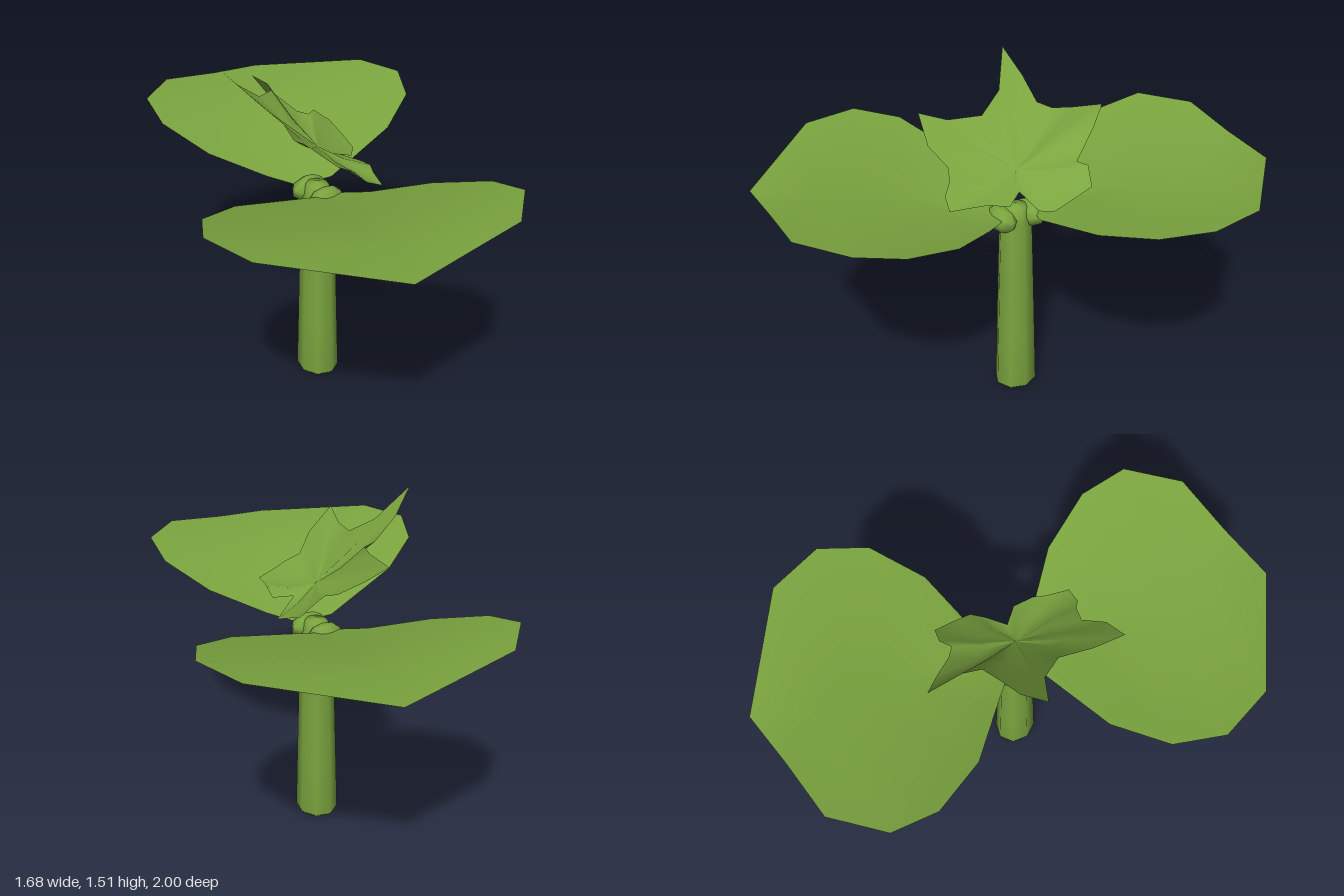
import * as THREE from 'three';

const green = new THREE.MeshStandardMaterial({ color: 0x7ba53f, side: THREE.DoubleSide });
green.name = 'leaf green';

function part(name, geometry, parent) {
  const mesh = new THREE.Mesh(geometry, green);
  mesh.name = name;
  parent.add(mesh);
  return mesh;
}

// Smooth sheet through rows of points; closed joins the ends of each row.
function sheet(rows, closed = false) {
  const n = rows[0].length, index = [];
  for (let i = 0; i + 1 < rows.length; i++) {
    for (let j = 0; j < (closed ? n : n - 1); j++) {
      const k = (j + 1) % n, a = i * n + j, b = i * n + k, c = a + n, d = b + n;
      index.push(a, c, b, b, c, d);
    }
  }
  const g = new THREE.BufferGeometry();
  g.setAttribute('position', new THREE.Float32BufferAttribute(rows.flat(2), 3));
  g.setIndex(index);
  g.computeVertexNormals();
  return g;
}

// Broad leaf: left edge, midrib and right edge at stations going outward
const broadRows = [
  [[-0.12, 0.935, 0.04], [-0.02, 0.93, 0.07], [0.05, 0.935, 0.10]],
  [[-0.49, 1.05, 0.06], [-0.14, 0.98, 0.25], [0.11, 0.955, 0.20]],
  [[-0.72, 1.12, 0.16], [-0.24, 1.03, 0.43], [0.25, 1.03, 0.42]],
  [[-0.84, 1.16, 0.33], [-0.29, 1.07, 0.60], [0.31, 1.11, 0.67]],
  [[-0.82, 1.16, 0.57], [-0.30, 1.10, 0.76], [0.26, 1.16, 0.86]],
  [[-0.47, 1.11, 0.97], [-0.22, 1.13, 0.98], [0.05, 1.16, 1.00]],
];

// Outline of the small lobed leaf
const lobes = [
  [0.01, 1.32, -0.43], [0.06, 1.25, -0.35], [0.11, 1.18, -0.25], [0.14, 1.17, -0.21],
  [0.19, 1.17, -0.23], [0.26, 1.11, -0.20], [0.25, 1.07, -0.10], [0.24, 1.04, -0.03],
  [0.19, 1.03, 0.01], [0.09, 1.08, 0.04], [0.14, 1.06, 0.12], [0.11, 1.08, 0.20],
  [0.08, 1.07, 0.25], [0.04, 1.06, 0.34], [-0.03, 1.09, 0.32], [-0.06, 1.13, 0.28],
  [-0.12, 1.16, 0.25], [-0.21, 1.23, 0.29], [-0.32, 1.33, 0.27], [-0.27, 1.29, 0.16],
  [-0.21, 1.30, 0.03], [-0.25, 1.37, -0.08], [-0.36, 1.51, -0.17], [-0.25, 1.41, -0.20],
  [-0.14, 1.33, -0.20], [-0.06, 1.33, -0.22], [-0.02, 1.33, -0.29],
];

export function createModel() {
  const plant = new THREE.Group();
  plant.name = 'seedling';

  // Tapering stem with a rounded foot and top
  const profile = [[0, 0], [0.08, 0], [0.1, 0.02], [0.092, 0.3], [0.082, 0.65],
    [0.074, 0.9], [0.05, 0.96], [0, 0.97]].map(([r, y]) => new THREE.Vector2(r, y));
  part('stem', new THREE.LatheGeometry(profile, 8), plant).scale.x = 0.9;

  // Two broad leaves, each with a swollen leaf base
  for (let i = 0; i < 2; i++) {
    const side = new THREE.Group();
    side.name = i ? 'backLeaf' : 'frontLeaf';
    side.rotation.y = i * Math.PI;
    part('broadBlade', sheet(broadRows), side);
    const base = part('leafBase', new THREE.SphereGeometry(1, 8, 5), side);
    base.scale.set(0.09, 0.055, 0.055);
    base.position.set(-0.01, 0.91, 0.065);
    base.rotation.x = -0.3;
    plant.add(side);
  }

  // Small pleated leaf, dished toward its centre
  const centre = [0, 1.13, 0];
  const rows = [0, 0.5, 1].map(t => lobes.map(p => p.map((v, k) =>
    centre[k] + (v - centre[k]) * t - (k === 1 ? 0.06 * t * (1 - t) : 0))));
  part('lobedLeaf', sheet(rows.map(r => r.slice().reverse()), true), plant);

  return plant;
}
